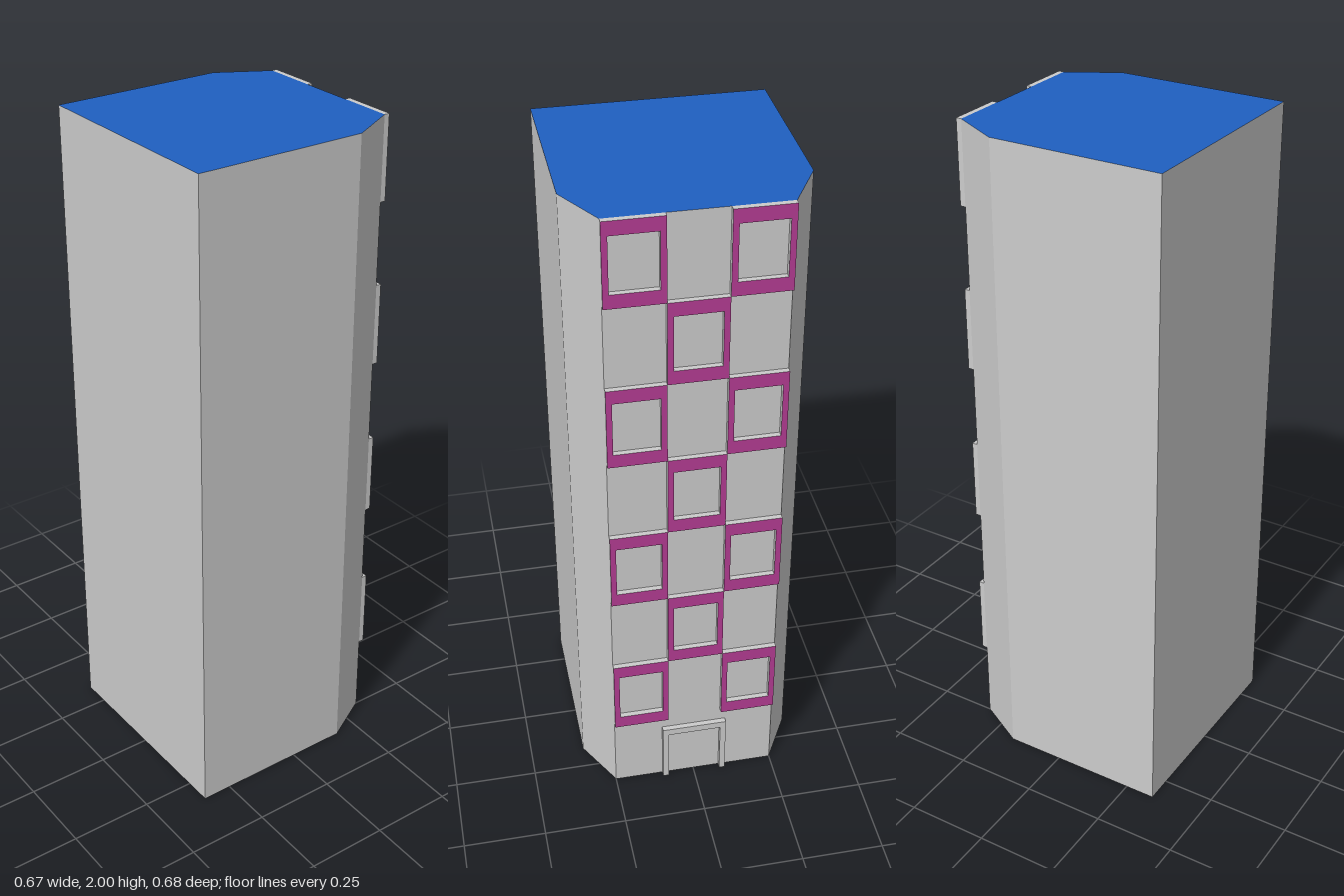
import * as THREE from 'three';

const H = 2, ROOF = 0.01, FACE_Z = -0.325, RELIEF = 1 / 60;
const CELL_W = 1 / 6, CELL_H = 0.25;

const grey = new THREE.MeshStandardMaterial({ color: 0xcccccc });
const blue = new THREE.MeshStandardMaterial({ color: 0x1f5fc0 });
const magenta = new THREE.MeshStandardMaterial({ color: 0xb43c93 });

const toPoints = (list) => list.map(([x, y]) => new THREE.Vector2(x, y));
const rect = (w, h) => toPoints([[-w / 2, -h / 2], [w / 2, -h / 2], [w / 2, h / 2], [-w / 2, h / 2]]);

function extrude(name, shape, depth, materials) {
  const geometry = new THREE.ExtrudeGeometry(shape, { depth, bevelEnabled: false });
  const mesh = new THREE.Mesh(geometry, materials);
  mesh.name = name;
  return mesh;
}

export function createModel() {
  const model = new THREE.Group();
  model.name = 'towerBlock';

  // Floor plan with two chamfered corners on the window side (shape y is -z)
  const plan = new THREE.Shape(toPoints([
    [-0.3333, -0.3417], [0.3333, -0.3417], [0.3333, 0.175],
    [0.25, -FACE_Z], [-0.25, -FACE_Z], [-0.3333, 0.175],
  ]));

  const tower = extrude('tower', plan, H - ROOF, grey);
  tower.rotation.x = -Math.PI / 2;

  // Thin roof slab: blue on top, grey edge
  const roof = extrude('roof', plan, ROOF, [blue, grey]);
  roof.rotation.x = -Math.PI / 2;
  roof.position.y = H - ROOF;
  model.add(tower, roof);

  // Window frames in a checkerboard: outer columns on even rows, centre on odd
  const frameShape = new THREE.Shape(rect(CELL_W, CELL_H));
  frameShape.holes.push(new THREE.Path(rect(0.133, 0.167)));
  const windows = new THREE.Group();
  windows.name = 'windows';
  for (let row = 0; row < 7; row++) {
    for (const column of row % 2 ? [0] : [-1, 1]) {
      const frame = extrude('windowFrame', frameShape, RELIEF, [magenta, grey]);
      frame.position.set(column * CELL_W, CELL_H * (row + 1.5), FACE_Z - RELIEF);
      windows.add(frame);
    }
  }
  model.add(windows);

  // Door surround, open at the ground
  const doorShape = new THREE.Shape(toPoints([
    [-0.1, 0], [-0.082, 0], [-0.082, 0.182], [0.082, 0.182],
    [0.082, 0], [0.1, 0], [0.1, 0.205], [-0.1, 0.205],
  ]));
  const door = extrude('doorFrame', doorShape, RELIEF, grey);
  door.position.z = FACE_Z - RELIEF;
  model.add(door);

  return model;
}
